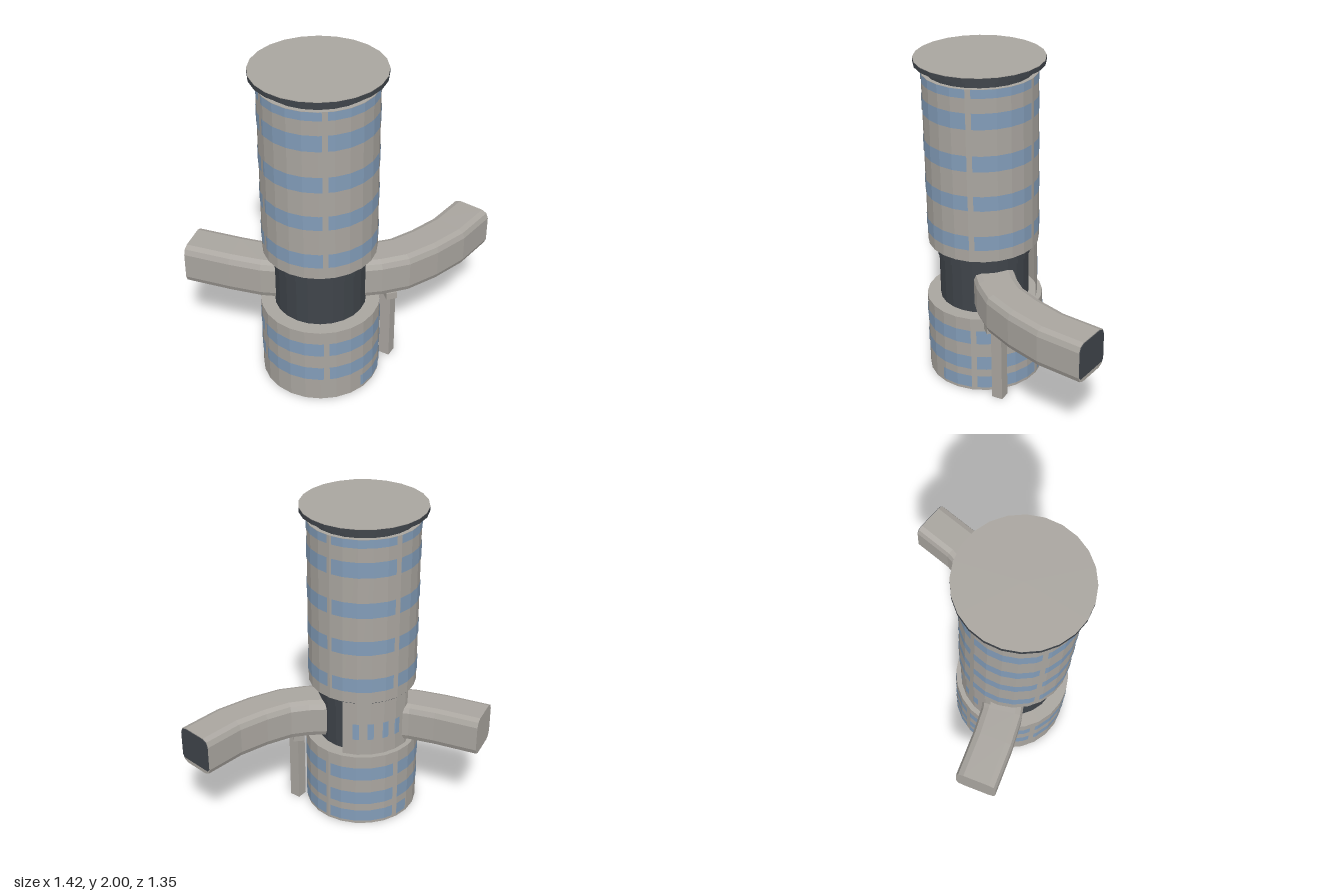
import * as THREE from 'three';

const CX = 0.06, CZ = 0.3, SIDES = 24;
const DEG = Math.PI / 180;

const wall = new THREE.MeshStandardMaterial({ color: 0xa9a59f, side: THREE.DoubleSide });
wall.name = 'concrete';
const dark = new THREE.MeshStandardMaterial({ color: 0x3f444a });
dark.name = 'dark cladding';
const glass = new THREE.MeshStandardMaterial({ color: 0x829cb8, side: THREE.DoubleSide });
glass.name = 'blue glass';

function flat(geometry) {
  const g = geometry.index ? geometry.toNonIndexed() : geometry;
  g.computeVertexNormals();
  return g;
}

function add(parent, name, geometry, material, x = 0, y = 0, z = 0) {
  const mesh = new THREE.Mesh(flat(geometry), material);
  mesh.name = name;
  mesh.position.set(x, y, z);
  parent.add(mesh);
  return mesh;
}

function drum(parent, name, r, y0, y1, material, open = false) {
  return add(parent, name, new THREE.CylinderGeometry(r, r, y1 - y0, SIDES, 1, open),
    material, 0, (y0 + y1) / 2, 0);
}

function meshData(vertices, faces) {
  const g = new THREE.BufferGeometry();
  g.setAttribute('position', new THREE.Float32BufferAttribute(vertices.flat(), 3));
  g.setIndex(faces.flat());
  return g;
}

// Curved strip that follows the facets of a drum; angles run from +z towards +x
function arcStrip(r, a0, a1, y0, y1) {
  const step = 360 / SIDES, angles = [a0];
  for (let a = (Math.floor(a0 / step) + 1) * step; a < a1 - 0.01; a += step) angles.push(a);
  angles.push(a1);
  const vertices = [], faces = [];
  angles.forEach((a, i) => {
    const offset = a - Math.floor(a / step) * step - step / 2;
    const d = r * Math.cos(step / 2 * DEG) / Math.cos(offset * DEG);
    const x = d * Math.sin(a * DEG), z = d * Math.cos(a * DEG);
    vertices.push([x, y0, z], [x, y1, z]);
    const k = 2 * i;
    if (i) faces.push([k - 2, k, k + 1], [k - 2, k + 1, k - 1]);
  });
  return meshData(vertices, faces);
}

// One storey of five wide windows separated by slim piers
function windowRow(parent, r, y0, y1, from = -36, to = 324) {
  for (let k = 0; k < 5; k++) {
    const a0 = Math.max(-33.3 + 72 * k, from), a1 = Math.min(33.3 + 72 * k, to);
    if (a1 > a0) add(parent, 'windowBand', arcStrip(r + 0.003, a0, a1, y0, y1), glass);
  }
}

// Rounded rectangular bridge section as [sideways, up] points
function bridgeSection(half, radius) {
  const points = [];
  for (let c = 0; c < 4; c++) {
    const sx = c === 0 || c === 3 ? 1 : -1, sy = c < 2 ? 1 : -1;
    for (let i = 0; i <= 2; i++) {
      const a = (c * 90 + i * 45) * DEG;
      points.push([sx * (half - radius) + radius * Math.cos(a),
        sy * (half - radius) + radius * Math.sin(a)]);
    }
  }
  return points;
}

function sweep(path, section) {
  const vertices = [], faces = [], n = section.length;
  path.forEach((p, i) => {
    const t = path[Math.min(i + 1, path.length - 1)].clone().sub(path[Math.max(i - 1, 0)]);
    t.y = 0;
    t.normalize();
    for (const [u, v] of section) vertices.push([p.x + t.z * u, p.y + v, p.z - t.x * u]);
    if (!i) return;
    for (let j = 0; j < n; j++) {
      const a = (i - 1) * n + j, b = (i - 1) * n + (j + 1) % n;
      faces.push([a, b, b + n], [a, b + n, a + n]);
    }
  });
  // End faces
  const last = (path.length - 1) * n;
  for (let j = 1; j < n - 1; j++) faces.push([0, j + 1, j], [last, last + j, last + j + 1]);
  return meshData(vertices, faces);
}

export function createModel() {
  const model = new THREE.Group();
  model.name = 'tower with curved bridge';

  const tower = new THREE.Group();
  tower.name = 'tower';
  tower.position.set(CX, 0, CZ);
  model.add(tower);

  // Lower drum, hollow and open underneath
  drum(tower, 'lowerDrum', 0.35, 0, 0.5, wall, true);
  const roof = add(tower, 'lowerRoof', new THREE.CircleGeometry(0.35, SIDES), wall, 0, 0.5, 0);
  roof.rotation.x = -Math.PI / 2;
  windowRow(tower, 0.35, 0.33, 0.42);
  windowRow(tower, 0.35, 0.15, 0.24);
  windowRow(tower, 0.35, 0.02, 0.1, 72, 268);

  // Recessed dark storey
  drum(tower, 'core', 0.268, 0.5, 0.79, dark);
  drum(tower, 'coreCollar', 0.278, 0.79, 0.87, dark);

  // Curved screen wall with small windows behind the core
  add(tower, 'screenWall', arcStrip(0.32, 194, 276, 0.5, 0.875), wall);
  for (const a of [209, 225, 242, 257]) {
    add(tower, 'smallWindow', arcStrip(0.323, a - 3.5, a + 3.5, 0.61, 0.72), glass);
  }

  // Upper drum
  drum(tower, 'upperDrum', 0.33, 0.875, 1.92, wall);
  drum(tower, 'upperSoffit', 0.325, 0.87, 0.876, dark);
  for (const [y0, y1] of [[0.95, 1.04], [1.2, 1.29], [1.44, 1.535], [1.69, 1.785], [1.87, 1.92]]) {
    windowRow(tower, 0.33, y0, y1);
  }

  // Crown with overhanging cap
  drum(tower, 'crownNeck', 0.305, 1.92, 1.97, dark);
  drum(tower, 'crownCap', 0.372, 1.97, 1.997, dark);
  drum(tower, 'crownTop', 0.372, 1.997, 2, wall);

  // Bridge passing through the tower
  const path = [
    [-0.69, 0.66, 0.51], [-0.42, 0.655, 0.455], [-0.25, 0.65, 0.41], [-0.05, 0.647, 0.32],
    [0.15, 0.643, 0.2], [0.31, 0.64, 0.07], [0.405, 0.637, -0.035], [0.485, 0.634, -0.2],
    [0.55, 0.63, -0.395], [0.585, 0.625, -0.655],
  ].map((p) => new THREE.Vector3(...p));
  const bridge = new THREE.Group();
  bridge.name = 'bridge';
  model.add(bridge);
  add(bridge, 'bridgeTube', sweep(path, bridgeSection(0.124, 0.045)), wall);

  // Dark opening at the long end
  const end = path[path.length - 1], dir = end.clone().sub(path[path.length - 2]);
  const opening = new THREE.Shape(bridgeSection(0.119, 0.04)
    .map(([u, v]) => new THREE.Vector2(u, Math.max(v, -0.095))));
  const plate = add(bridge, 'bridgeOpening',
    new THREE.ExtrudeGeometry(opening, { depth: 0.004, bevelEnabled: false }), dark, end.x, end.y, end.z);
  plate.rotation.y = Math.atan2(dir.x, dir.z);

  // Pillar and bearing under the bridge
  add(model, 'pillar', new THREE.BoxGeometry(0.068, 0.47, 0.068), wall, 0.37, 0.235, 0.033);
  const bearing = add(model, 'pillarBearing', new THREE.BoxGeometry(0.17, 0.045, 0.065),
    wall, 0.365, 0.488, 0.03);
  bearing.rotation.y = -45 * DEG;

  return model;
}
